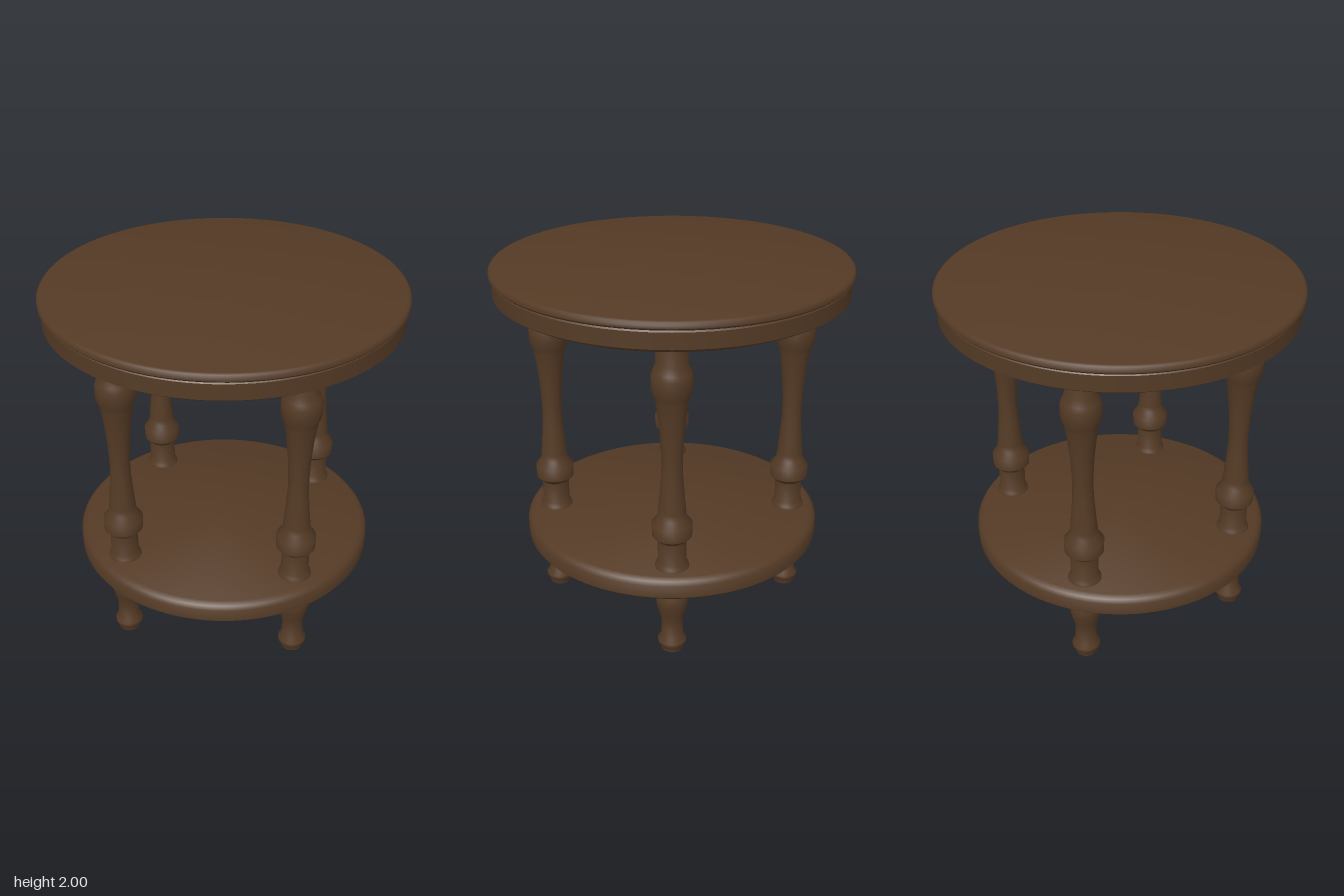
import * as THREE from 'three';
import { toCreasedNormals } from 'three/addons/utils/BufferGeometryUtils.js';

const wood = new THREE.MeshStandardMaterial({ color: 0x543a25 });
wood.name = 'dark walnut';

// Turned part from [radius, height] pairs, bottom to top
function turned(name, profile, segments, crease) {
  const points = profile.map(([r, y]) => new THREE.Vector2(r, y));
  const geometry = toCreasedNormals(new THREE.LatheGeometry(points, segments), crease);
  const mesh = new THREE.Mesh(geometry, wood);
  mesh.name = name;
  return mesh;
}

export function createModel() {
  const table = new THREE.Group();
  table.name = 'roundSideTable';

  // Round top: bevelled apron, fine groove and rounded lip
  table.add(turned('tableTop', [
    [0, 1.825], [0.89, 1.825], [0.935, 1.845], [0.957, 1.86], [0.957, 1.945],
    [0.95, 1.953], [0.963, 1.957], [0.972, 1.967], [0.972, 1.983], [0.963, 1.995], [0.95, 2], [0, 2],
  ], 96, 0.65));

  // Lower shelf with eased edges
  table.add(turned('lowerShelf', [
    [0, 0.4], [0.8, 0.4], [0.825, 0.41], [0.84, 0.425],
    [0.84, 0.495], [0.825, 0.515], [0.8, 0.53], [0, 0.53],
  ], 96, 0.65));

  // Long tapering spindle between the two collars
  const spindle = new THREE.SplineCurve([
    [0.077, 0.83], [0.064, 0.97], [0.055, 1.12], [0.061, 1.28], [0.075, 1.42], [0.09, 1.51],
  ].map(([r, y]) => new THREE.Vector2(r, y))).getPoints(15).map((p) => [p.x, p.y]);

  const legProfile = [
    // Foot
    [0, 0], [0.06, 0], [0.064, 0.025], [0.078, 0.043], [0.078, 0.062], [0.06, 0.085],
    // Vase below the shelf
    [0.058, 0.19], [0.07, 0.235], [0.085, 0.29], [0.09, 0.33], [0.085, 0.36], [0.07, 0.41],
    // Flared ring and lower collar
    [0.07, 0.52], [0.092, 0.53], [0.088, 0.545], [0.076, 0.565], [0.076, 0.69],
    [0.106, 0.72], [0.108, 0.79],
    ...spindle,
    // Upper collar and neck
    [0.106, 1.55], [0.107, 1.62], [0.098, 1.65], [0.082, 1.69], [0.083, 1.84], [0, 1.84],
  ];

  // Four matching legs
  for (const x of [-0.48, 0.48]) {
    for (const z of [-0.48, 0.48]) {
      const leg = turned((z > 0 ? 'front' : 'back') + (x > 0 ? 'Left' : 'Right') + 'Leg', legProfile, 32, 0.75);
      leg.position.set(x, 0, z);
      table.add(leg);
    }
  }
  return table;
}
